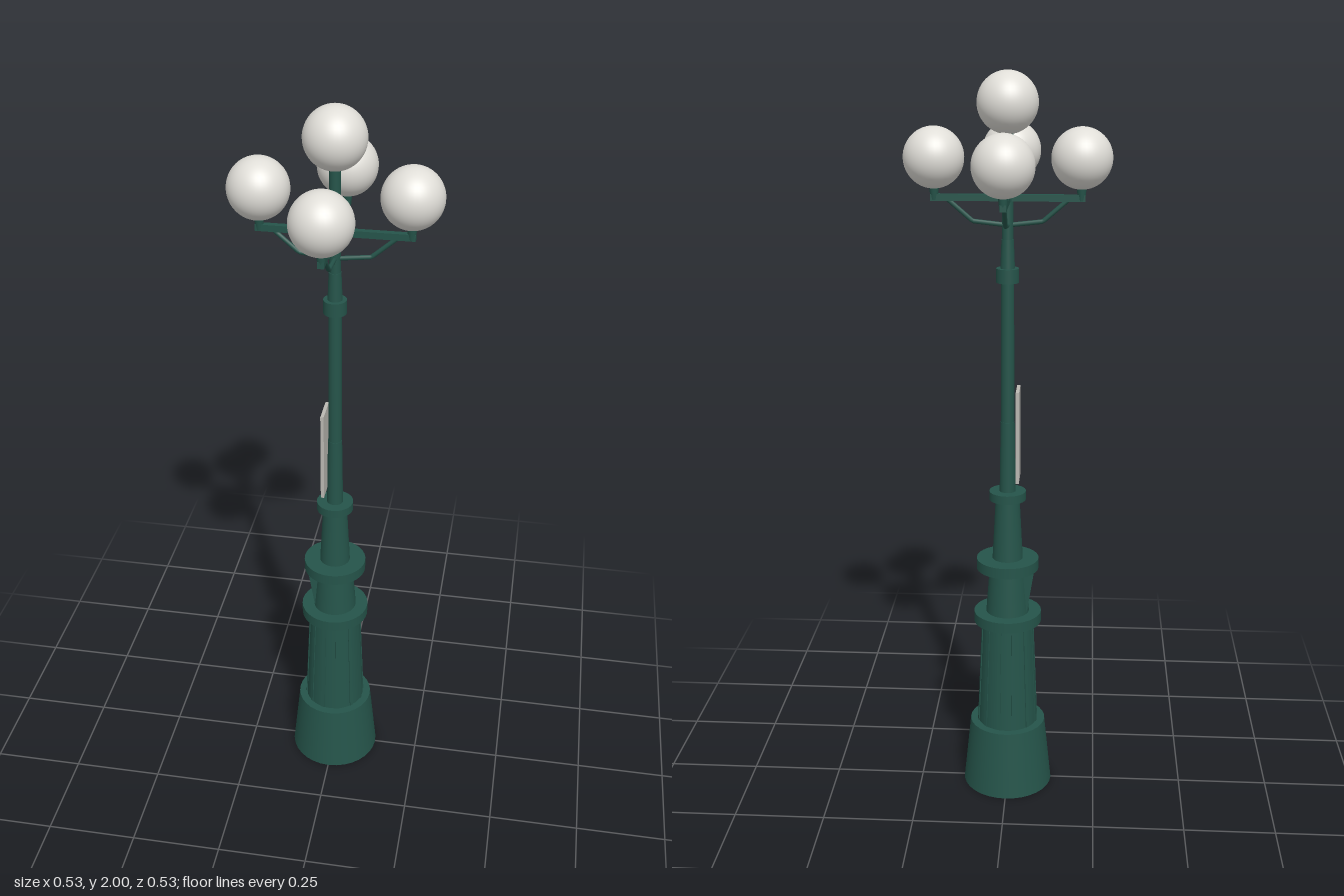
import * as THREE from 'three';

export function createModel() {
  const model = new THREE.Group();
  const green = new THREE.MeshStandardMaterial({ name: 'dark green iron', color: 0x25544a });
  const white = new THREE.MeshStandardMaterial({ name: 'globe white', color: 0xe0ded8 });
  const grey = new THREE.MeshStandardMaterial({ name: 'sign grey', color: 0xbab8b2 });

  const add = (parent, name, geometry, material, x = 0, y = 0, z = 0) => {
    const mesh = new THREE.Mesh(geometry, material);
    mesh.name = name;
    mesh.position.set(x, y, z);
    parent.add(mesh);
    return mesh;
  };

  // Stacked column: name, bottom y, top y, bottom radius, top radius
  const sections = [
    ['base', 0, 0.195, 0.126, 0.106],
    ['lowerShaft', 0.195, 0.505, 0.084, 0.071],
    ['lowerCollar', 0.505, 0.535, 0.094, 0.094],
    ['middleShaft', 0.535, 0.665, 0.06, 0.05],
    ['middleCollar', 0.665, 0.695, 0.086, 0.086],
    ['upperShaft', 0.695, 0.87, 0.042, 0.033],
    ['upperCollar', 0.868, 0.892, 0.05, 0.05],
    ['lowerPole', 0.892, 1.09, 0.022, 0.019],
    ['pole', 1.09, 1.47, 0.018, 0.017],
    ['poleCollar', 1.468, 1.505, 0.03, 0.03],
    ['poleNeck', 1.505, 1.58, 0.019, 0.016],
    ['topPole', 1.58, 1.85, 0.0145, 0.0145],
  ];
  for (const [name, y0, y1, r0, r1] of sections) {
    add(model, name, new THREE.CylinderGeometry(r1, r0, y1 - y0, 32), green, 0, (y0 + y1) / 2);
  }

  // Slim ribs along the lower shaft
  for (let i = 0; i < 12; i++) {
    const a = (i + 0.5) * Math.PI / 6;
    const pivot = new THREE.Group();
    pivot.name = 'shaftRib';
    pivot.rotation.y = a;
    const rib = add(pivot, 'rib', new THREE.BoxGeometry(0.01, 0.308, 0.005), green, 0, 0.35, 0.0772);
    rib.rotation.x = -Math.atan(0.013 / 0.31);
    model.add(pivot);
  }

  // Sloping bracket on the right side, under the middle collar
  const wedge = new THREE.Shape([
    new THREE.Vector2(-0.03, 0.54), new THREE.Vector2(-0.03, 0.665),
    new THREE.Vector2(-0.075, 0.665), new THREE.Vector2(-0.055, 0.54),
  ]);
  add(model, 'sideBracket', new THREE.ExtrudeGeometry(wedge, { depth: 0.05, bevelEnabled: false }),
    green, 0, 0, -0.025);

  // Sign plate on the right side of the pole
  add(model, 'signPlate', new THREE.BoxGeometry(0.009, 0.255, 0.08), grey, -0.028, 1.053, 0);

  // Four arms, each with a bent brace, a cup and a globe
  const globe = new THREE.SphereGeometry(0.078, 40, 28);
  const brace = new THREE.CurvePath();
  const pts = [[0, 1.616], [0.09, 1.626], [0.155, 1.682]].map(([x, y]) => new THREE.Vector3(x, y, 0));
  for (let i = 0; i < 2; i++) brace.add(new THREE.LineCurve3(pts[i], pts[i + 1]));
  const braceGeometry = new THREE.TubeGeometry(brace, 24, 0.006, 8);
  for (let i = 0; i < 4; i++) {
    const arm = new THREE.Group();
    arm.name = 'lampArm';
    arm.rotation.y = i * Math.PI / 2;
    add(arm, 'armBar', new THREE.BoxGeometry(0.198, 0.017, 0.016), green, 0.099, 1.686);
    add(arm, 'armBrace', braceGeometry, green);
    add(arm, 'globeCup', new THREE.CylinderGeometry(0.013, 0.009, 0.036, 16), green, 0.188, 1.697);
    add(arm, 'globe', globe, white, 0.188, 1.786);
    model.add(arm);
  }
  add(model, 'topGlobe', globe, white, 0, 1.922);

  return model;
}
